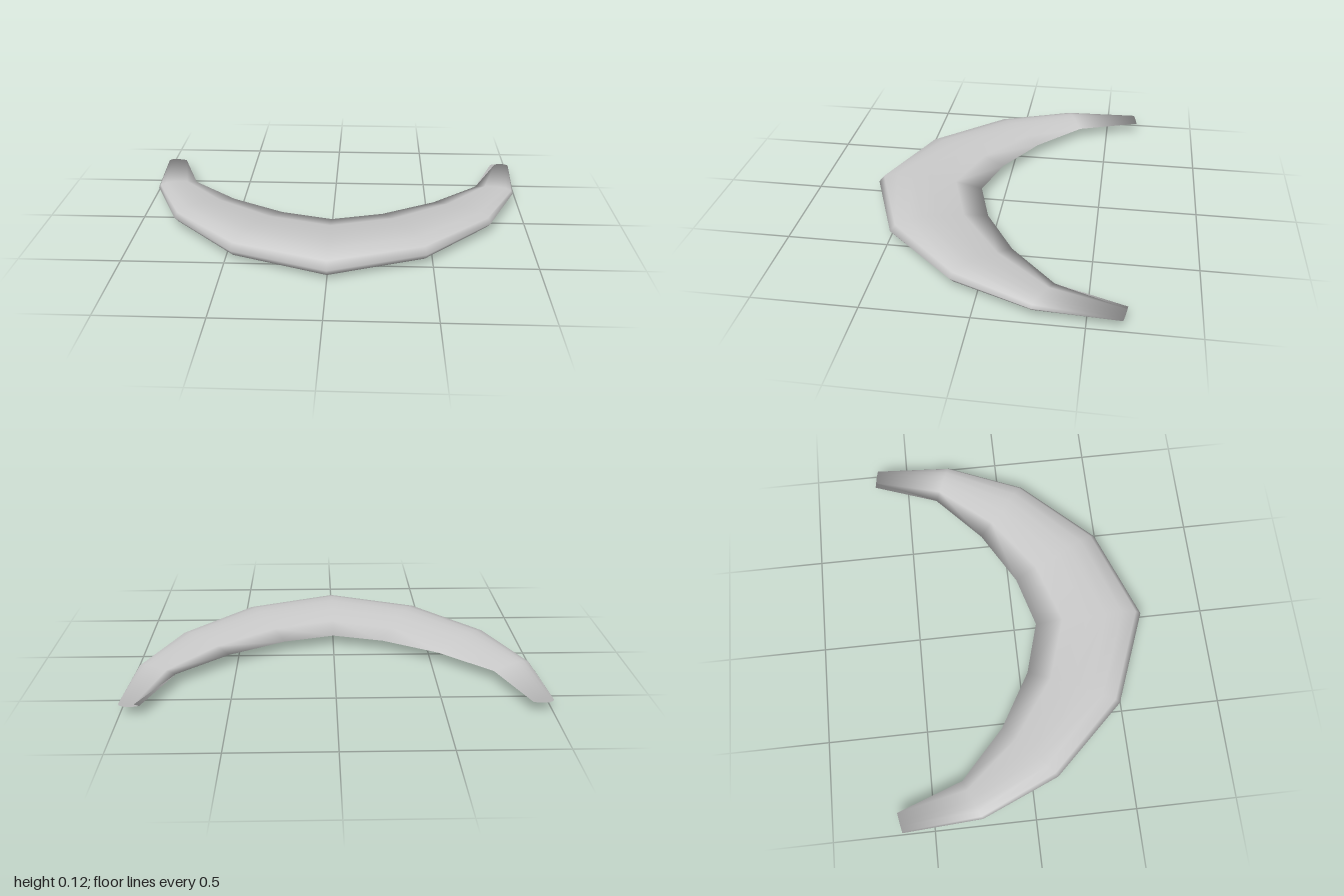
import * as THREE from 'three';

// Half of the planform, centre to tip: [outer x, outer z, inner x, inner z]
const HALF = [
  [0, 0.67, 0, 0.115],
  [0.47, 0.49, 0.26, 0.04],
  [0.81, 0.13, 0.535, -0.12],
  [0.975, -0.26, 0.78, -0.345],
  [1, -0.655, 0.9, -0.675],
];
const MID_Y = 0.06;
const THICKNESS = 0.216; // thickness as a share of the chord

// Half thickness of a symmetric aerofoil, t running from leading to trailing edge
function halfThickness(t) {
  return 5 * THICKNESS * (0.2969 * Math.sqrt(t) - 0.126 * t - 0.3516 * t ** 2 + 0.2843 * t ** 3 - 0.1015 * t ** 4);
}

// Closed section: over the top to the trailing edge, back underneath
const STEPS = [0, 0.054, 0.19, 0.33, 0.5, 0.75, 1];
const SECTION = [
  ...STEPS.map((t) => [t, halfThickness(t)]),
  ...STEPS.slice(1, -1).reverse().map((t) => [t, -halfThickness(t)]),
];

function createBladeGeometry() {
  const mirrored = HALF.slice(1).reverse().map(([ox, oz, ix, iz]) => [-ox, oz, -ix, iz]);
  const stations = [...mirrored, ...HALF];
  const n = SECTION.length;
  const last = stations.length - 1;
  const positions = [];
  const indices = [];

  for (const [ox, oz, ix, iz] of stations) {
    const chord = Math.hypot(ox - ix, oz - iz);
    for (const [t, h] of SECTION) {
      positions.push(ox + (ix - ox) * t, MID_Y + h * chord, oz + (iz - oz) * t);
    }
  }

  // Skin between neighbouring sections
  for (let i = 0; i < last; i++) {
    for (let j = 0; j < n; j++) {
      const a = i * n + j;
      const b = i * n + ((j + 1) % n);
      indices.push(a, a + n, b, b, a + n, b + n);
    }
  }

  // Tip caps
  for (let j = 1; j < n - 1; j++) {
    const e = last * n;
    indices.push(0, j, j + 1, e, e + j + 1, e + j);
  }

  const geometry = new THREE.BufferGeometry();
  geometry.setAttribute('position', new THREE.Float32BufferAttribute(positions, 3));
  geometry.setIndex(indices);
  geometry.computeVertexNormals();

  // Tip normals point outward along the arms, so shading rolls off smoothly
  const tip = new THREE.Vector3(0.2, 0, -1).normalize();
  for (let j = 0; j < n; j++) {
    geometry.attributes.normal.setXYZ(j, -tip.x, 0, tip.z);
    geometry.attributes.normal.setXYZ(last * n + j, tip.x, 0, tip.z);
  }
  return geometry;
}

export function createModel() {
  const group = new THREE.Group();
  group.name = 'crescentWing';
  const material = new THREE.MeshStandardMaterial({ color: 0xcccccc });
  const blade = new THREE.Mesh(createBladeGeometry(), material);
  blade.name = 'crescentBlade';
  group.add(blade);
  return group;
}
